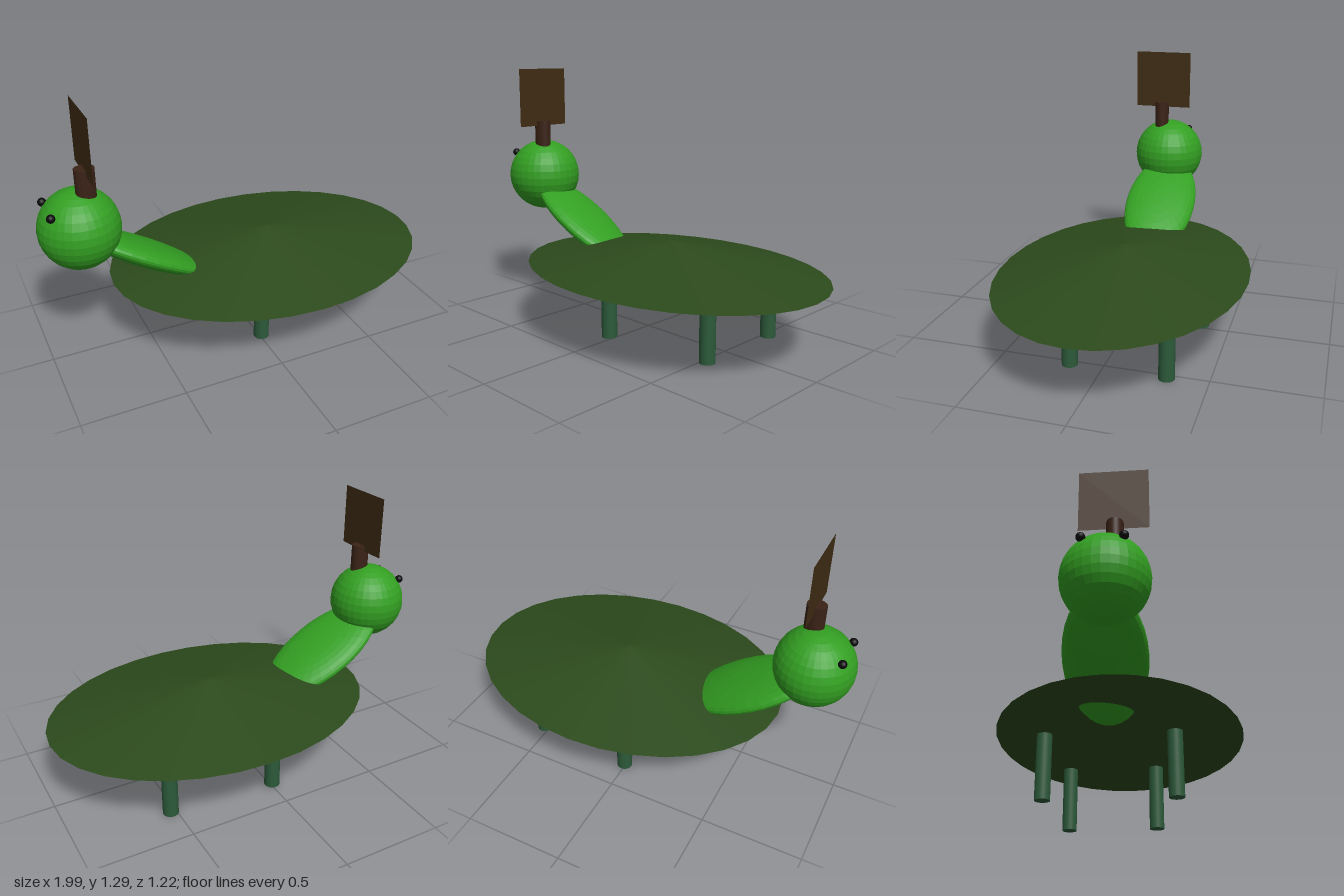
import * as THREE from 'three';

const paint = (color, extra = {}) => new THREE.MeshStandardMaterial({ color, ...extra });

export function createModel() {
  const model = new THREE.Group();
  const skin = paint(0x339f22, { flatShading: true });
  const shellGreen = paint(0x2c4a1c, { flatShading: true });
  const legGreen = paint(0x2c5a3a);
  const wood = paint(0x3a2216);
  const board = paint(0x402c14, { side: THREE.DoubleSide });
  const black = paint(0x0a0a0a);

  const add = (name, geometry, material, x, y, z) => {
    const mesh = new THREE.Mesh(geometry, material);
    mesh.name = name;
    mesh.position.set(x, y, z);
    model.add(mesh);
    return mesh;
  };

  // Low, wide oval shell with a closed flat underside
  add('shell', new THREE.ConeGeometry(1, 0.136, 32).scale(0.829, 1, 0.61), shellGreen, 0.159, 0.413, 0);

  // Four legs: [x, z, bottom, top]
  const legs = [
    [0, 0.273, 0.016, 0.35],
    [0, -0.361, 0.016, 0.35],
    [0.527, 0.159, 0, 0.335],
    [0.527, -0.306, 0, 0.335],
  ];
  for (const [x, z, bottom, top] of legs) {
    add('leg', new THREE.CylinderGeometry(0.038, 0.038, top - bottom, 32), legGreen, x, (top + bottom) / 2, z);
  }

  // Flattened neck, rolled slightly, rising from the shell to the head
  const neck = new THREE.SphereGeometry(1, 32, 16).scale(0.361, 0.063, 0.19);
  neck.rotateX(-0.17).rotateZ(-0.518);
  add('neck', neck, skin, -0.51, 0.487, -0.01);

  // Head and eyes, looking towards -x
  add('head', new THREE.SphereGeometry(0.193, 32, 16), skin, -0.808, 0.705, 0.015);
  for (const z of [-0.072, 0.104]) {
    add('eye', new THREE.SphereGeometry(0.02, 24, 12), black, -0.947, 0.825, z);
  }

  // Sign on an oval post standing on the head
  add('signPost', new THREE.CylinderGeometry(1, 1, 0.16, 32).scale(0.047, 1, 0.038), wood, -0.77, 0.932, 0.051);
  add('signBoard', new THREE.PlaneGeometry(0.31, 0.31).rotateY(Math.PI / 2), board, -0.77, 1.139, 0.045);

  return model;
}
